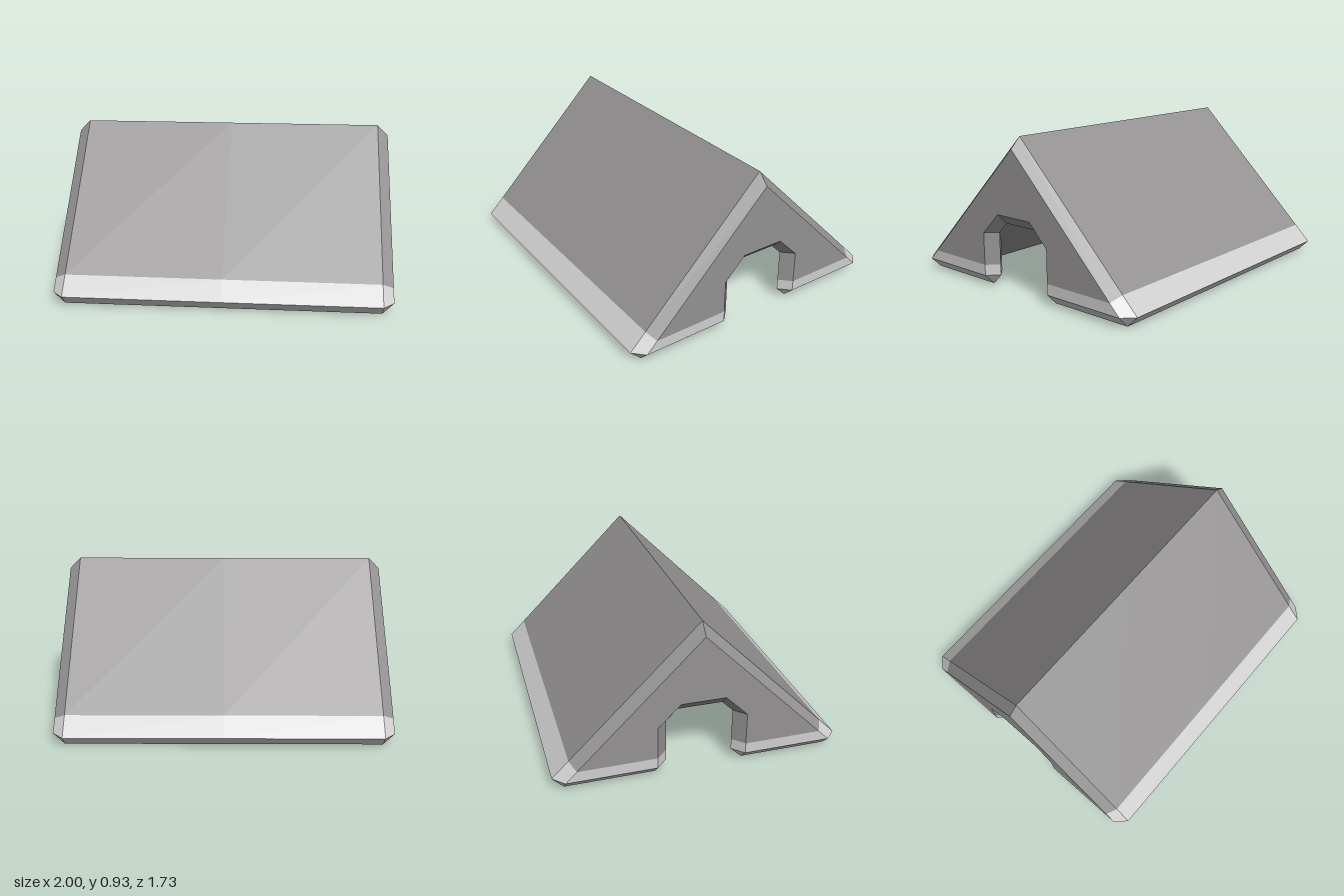
import * as THREE from 'three';

// Coordinates below are [x, y, z] in steps of one bevel width.
const STEP = 1 / 15;

export function createModel() {
  const group = new THREE.Group();
  const stone = new THREE.MeshStandardMaterial({ color: 0x949292 });
  stone.name = 'mid grey';
  const trim = new THREE.MeshStandardMaterial({ color: 0xcfcfcf });
  trim.name = 'light grey';
  const parts = new Map();

  // Adds a convex face, mirrored into all four quarters; "out" gives the side it faces.
  function face(name, material, out, points) {
    if (!parts.has(name)) parts.set(name, { material, positions: [] });
    const { positions } = parts.get(name);
    for (const sx of [1, -1]) for (const sz of [1, -1]) {
      const p = points.map(([x, y, z]) => new THREE.Vector3(x * sx, y, z * sz).multiplyScalar(STEP));
      const o = new THREE.Vector3(out[0] * sx, out[1], out[2] * sz);
      const n = p[1].clone().sub(p[0]).cross(p[2].clone().sub(p[0]));
      if (n.dot(o) < 0) p.reverse();
      for (let i = 1; i < p.length - 1; i++) {
        for (const v of [p[0], p[i], p[i + 1]]) positions.push(v.x, v.y, v.z);
      }
    }
  }

  // Roof slopes with a pale band and bevel along the eaves
  face('roof', stone, [0, 1, 1], [[0, 14, 0], [14, 14, 0], [14, 2.5, 11.5], [0, 2.5, 11.5]]);
  face('eaveTrim', trim, [0, 1, 1], [[0, 2.5, 11.5], [14, 2.5, 11.5], [14, 1, 13], [0, 1, 13]]);
  face('eaveTrim', trim, [0, -1, 1], [[0, 1, 13], [14, 1, 13], [14, 0, 12], [0, 0, 12]]);

  // Bevel between the roof and the end walls
  face('gableBevel', stone, [1, 1, 1], [[14, 14, 0], [15, 13, 0], [15, 2, 11], [14, 2.5, 11.5]]);
  face('eaveTrim', trim, [1, 1, 1], [[14, 2.5, 11.5], [15, 2, 11], [15, 1, 12], [14, 1, 13]]);
  face('eaveTrim', trim, [1, -1, 1], [[14, 1, 13], [15, 1, 12], [14, 0, 12]]);

  // Underside of the side walls
  face('eaveTrim', trim, [0, -1, 0], [[0, 0, 12], [14, 0, 12], [14, 0, 11], [0, 0, 11]]);
  face('innerLedge', stone, [0, -1, 0], [[0, 0, 11], [14, 0, 11], [14, 0, 10], [0, 0, 10]]);

  // Inside of the roof
  face('ceiling', stone, [0, -1, -1], [[0, 10, 0], [13, 10, 0], [13, 1, 9], [0, 1, 9]]);
  face('ceiling', stone, [0, -1, -1], [[0, 1, 9], [13, 1, 9], [14, 0, 10], [0, 0, 10]]);

  // End walls: outer and inner skins meet in a ridge around the doorway
  for (const [x, top, side, skin] of [[15, 13, 1, 'outer'], [13, 10, -1, 'inner']]) {
    const wall = (yz) => yz.map(([y, z]) => [x, y, z]);
    const out = [side, 0, 0];
    face(skin + 'EndWall', stone, out, wall([[top, 0], [7, 0], [7, 2], [top - 2, 2]]));
    face(skin + 'EndWall', stone, out, wall([[top - 2, 2], [7, 2], [5, 4], [top - 4, 4]]));
    face(skin + 'EndWall', stone, out, wall([[top - 4, 4], [2, 4], [2, top - 2]]));
    face(skin + 'EndTrim', trim, out, wall([[2, 4], [1, 4], [1, top - 1], [2, top - 2]]));
    face(skin + 'EndTrim', trim, [side, -1, 0],
      [[x, 1, 4], [x, 1, top - 1], [14, 0, side > 0 ? 12 : 10], [14, 0, 4]]);

    // Doorway bevels
    face(skin + 'EndTrim', trim, [side, -1, -1], [[x, 1, 4], [14, 0, 4], [14, 1, 3]]);
    face(skin + 'EndTrim', trim, [side, 0, -1], [[x, 1, 4], [x, 2, 4], [14, 2, 3], [14, 1, 3]]);
    face(skin + 'Doorway', stone, [side, 0, -1], [[x, 2, 4], [x, 5, 4], [14, 5, 3], [14, 2, 3]]);
    face(skin + 'Doorway', stone, [side, -1, -1], [[x, 5, 4], [x, 7, 2], [14, 6, 2], [14, 5, 3]]);
    face(skin + 'Doorway', stone, [side, -1, 0], [[x, 7, 0], [x, 7, 2], [14, 6, 2], [14, 6, 0]]);
  }

  for (const [name, { material, positions }] of parts) {
    const geometry = new THREE.BufferGeometry();
    geometry.setAttribute('position', new THREE.Float32BufferAttribute(positions, 3));
    geometry.computeVertexNormals();
    const mesh = new THREE.Mesh(geometry, material);
    mesh.name = name;
    group.add(mesh);
  }
  group.name = 'shelter';
  return group;
}
